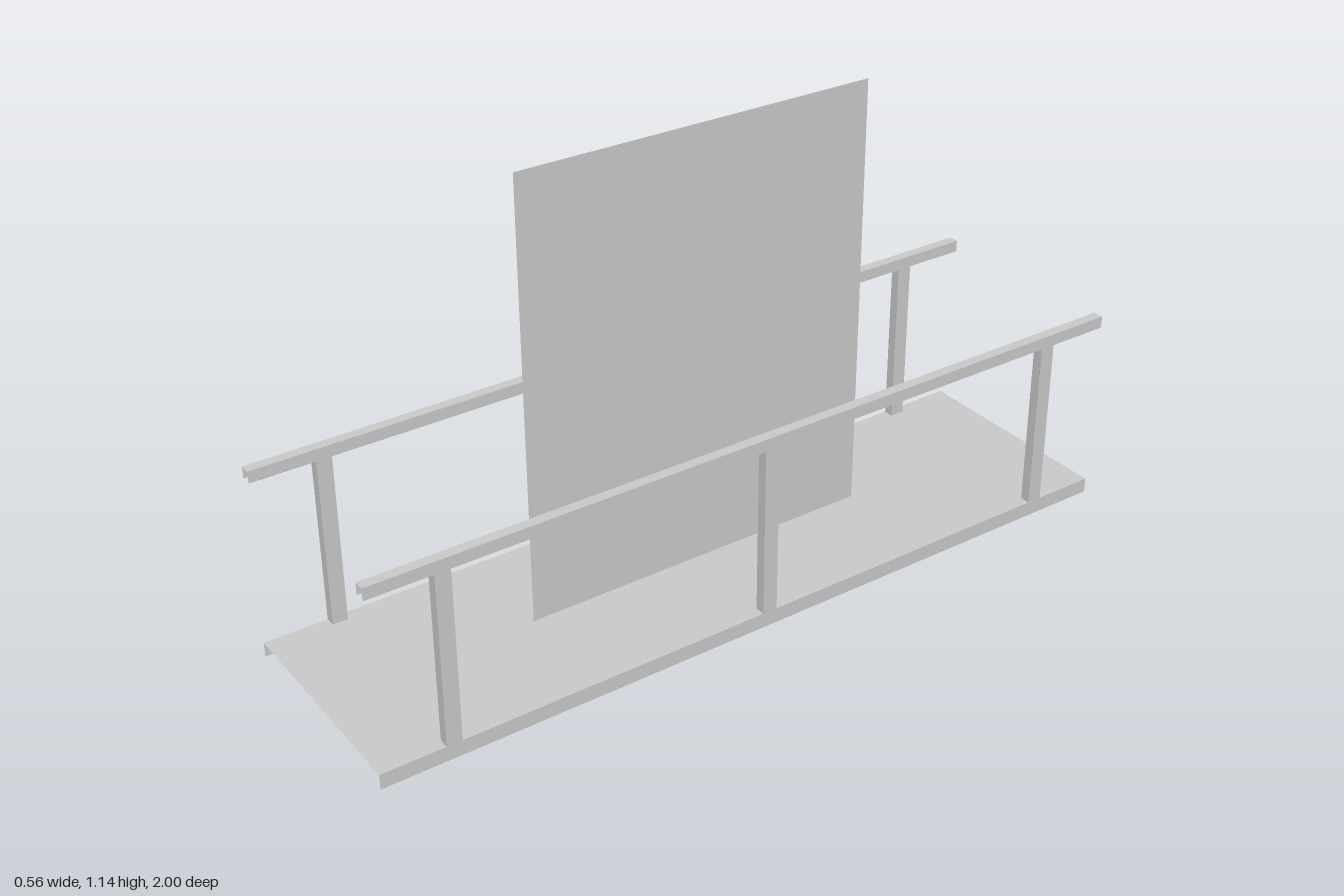
import * as THREE from 'three';

const W = 0.278, INNER = 0.252, FLOOR = 0.038, RAIL = 0.47, TOP = 0.5;
const POSTS = [-0.823, 0, 0.823], HALF = 0.019;

const material = new THREE.MeshStandardMaterial({
  color: 0xcccccc, side: THREE.DoubleSide, flatShading: true,
});

function add(parent, name, geometry) {
  const mesh = new THREE.Mesh(geometry, material);
  mesh.name = name;
  parent.add(mesh);
}

// Upright sheet lying in a plane of constant x
function sheet(x, y0, y1, z0, z1) {
  return new THREE.PlaneGeometry(z1 - z0, y1 - y0)
    .rotateY(Math.PI / 2)
    .translate(x, (y0 + y1) / 2, (z0 + z1) / 2);
}

// Deck sheet, notched along both edges where the hollow posts stand
function deckGeometry() {
  const s = new THREE.Shape();
  s.moveTo(-W, -1);
  s.lineTo(W, -1);
  for (const side of [1, -1]) {
    for (const p of POSTS) {
      s.lineTo(side * W, side * (p - HALF * 1));
      s.lineTo(side * INNER, side * (p - HALF));
      s.lineTo(side * INNER, side * (p + HALF));
      s.lineTo(side * W, side * (p + HALF));
    }
    s.lineTo(side * W, side);
    if (side === 1) s.lineTo(-W, 1);
  }
  return new THREE.ShapeGeometry(s).rotateX(-Math.PI / 2).translate(0, FLOOR, 0);
}

export function createModel() {
  const model = new THREE.Group();
  model.name = 'walkway';

  add(model, 'deck', deckGeometry());
  add(model, 'centrePanel', sheet(0, 0.018, 1.145, -0.463, 0.463));

  for (const side of [1, -1]) {
    const railing = new THREE.Group();
    railing.name = side > 0 ? 'leftRailing' : 'rightRailing';
    model.add(railing);

    // Skirt hanging from the deck edge
    add(railing, 'deckSkirt', sheet(side * W, 0, FLOOR, -1, 1));

    // Handrail: an open channel with a top and two sides
    const mid = side * (W + INNER) / 2;
    add(railing, 'handrailTop',
      new THREE.PlaneGeometry(W - INNER, 2).rotateX(-Math.PI / 2).translate(mid, TOP, 0));
    add(railing, 'handrailOuterSide', sheet(side * W, RAIL, TOP, -1, 1));
    add(railing, 'handrailInnerSide', sheet(side * INNER, RAIL, TOP, -1, 1));

    // Hollow square posts, open at both ends
    for (const z of POSTS) {
      const post = new THREE.Group();
      post.name = 'post';
      railing.add(post);
      for (const x of [INNER, W]) {
        add(post, 'postSide', sheet(side * x, FLOOR, RAIL, z - HALF, z + HALF));
      }
      for (const dz of [-HALF, HALF]) {
        add(post, 'postFace', new THREE.PlaneGeometry(W - INNER, RAIL - FLOOR)
          .translate(mid, (RAIL + FLOOR) / 2, z + dz));
      }
    }
  }
  return model;
}
